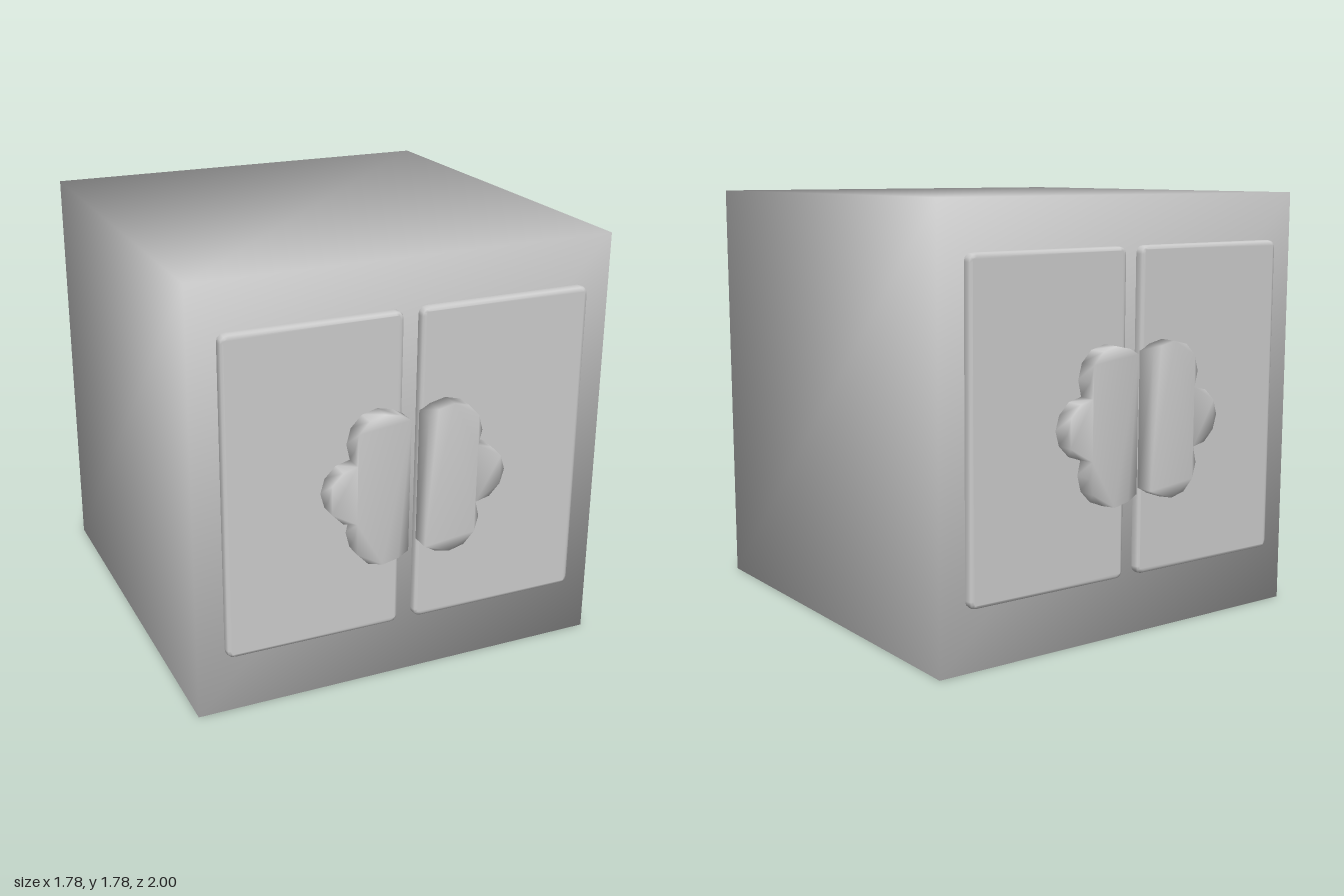
import * as THREE from 'three';
import { mergeVertices } from 'three/addons/utils/BufferGeometryUtils.js';

const material = new THREE.MeshStandardMaterial({ color: 0xcccccc });
const HALF = 0.89; // half the cube's side

// Weld the corners so that normals blend over every edge
function smooth(geometry) {
  geometry.deleteAttribute('normal');
  geometry.deleteAttribute('uv');
  const welded = mergeVertices(geometry, 1e-4);
  welded.computeVertexNormals();
  return welded;
}

function addMesh(parent, name, geometry) {
  const mesh = new THREE.Mesh(geometry, material);
  mesh.name = name;
  parent.add(mesh);
  return mesh;
}

// Door panel with rounded corners and a soft rim, on the side s = +1 or -1
function doorGeometry(s) {
  const bevel = 0.014, r = 0.02;
  const x0 = 0.037 + bevel, x1 = 0.775 - bevel, y0 = 0.255 + bevel, y1 = 1.583 - bevel;
  const shape = new THREE.Shape();
  shape.moveTo(s * (x0 + r), y0);
  shape.lineTo(s * (x1 - r), y0);
  shape.quadraticCurveTo(s * x1, y0, s * x1, y0 + r);
  shape.lineTo(s * x1, y1 - r);
  shape.quadraticCurveTo(s * x1, y1, s * (x1 - r), y1);
  shape.lineTo(s * (x0 + r), y1);
  shape.quadraticCurveTo(s * x0, y1, s * x0, y1 - r);
  shape.lineTo(s * x0, y0 + r);
  shape.quadraticCurveTo(s * x0, y0, s * (x0 + r), y0);
  const geometry = new THREE.ExtrudeGeometry(shape, {
    depth: 0.021, bevelThickness: bevel, bevelSize: bevel, bevelSegments: 2, curveSegments: 3,
  });
  return smooth(geometry.translate(0, 0, HALF));
}

// Half of a clover: upper lobe and side lobe, mirrored about the middle height
function cloverGeometry(s) {
  const upper = [
    [0.037, 0.277], [0.08, 0.302], [0.147, 0.317], [0.212, 0.3], [0.258, 0.252],
    [0.275, 0.187], [0.26, 0.122], [0.32, 0.107], [0.366, 0.06],
  ];
  const outline = [...upper, [0.383, 0], ...upper.map(([x, y]) => [x, -y]).reverse()];
  const shape = new THREE.Shape(outline.map(([x, y]) => new THREE.Vector2(s * x, y + 0.893)));
  const geometry = new THREE.ExtrudeGeometry(shape, { depth: 0.08, bevelEnabled: false });
  return smooth(geometry.translate(0, 0, 0.92));
}

export function createModel() {
  const model = new THREE.Group();
  model.name = 'cabinet';

  const body = addMesh(model, 'body', smooth(new THREE.BoxGeometry(2 * HALF, 2 * HALF, 2 * HALF)));
  body.position.y = HALF;

  // The same pair of doors with clover handles on the front and the back
  for (const face of ['front', 'back']) {
    const doors = new THREE.Group();
    doors.name = face + 'Doors';
    if (face === 'back') doors.rotation.y = Math.PI;
    for (const s of [1, -1]) {
      const side = s > 0 ? 'Left' : 'Right';
      addMesh(doors, 'door' + side, doorGeometry(s));
      addMesh(doors, 'cloverHandle' + side, cloverGeometry(s));
    }
    model.add(doors);
  }
  return model;
}
